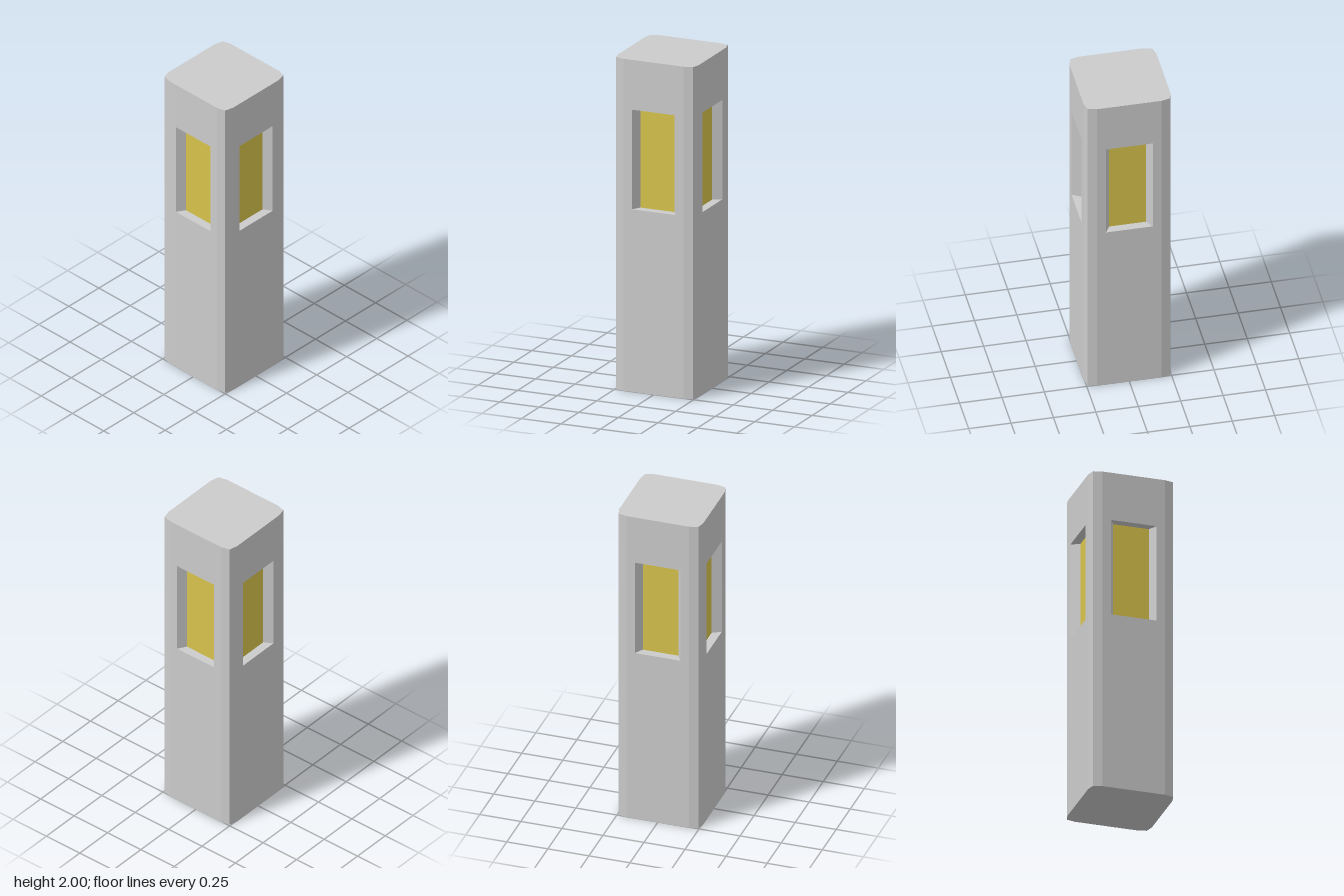
import * as THREE from 'three';

const HALF = 0.256;    // centre to flat face
const FLAT = 0.19;     // half width of the flat face
const CORNER = 0.243;  // corner ridge position
const HEIGHT = 2;
const WIN = { outer: 0.138, inner: 0.108, bottom: 1.1, top: 1.7, depth: 0.052 };

// Flat quads, each given as four corners counter-clockwise from outside
function quads(list) {
  const pos = [];
  for (const [a, b, c, d] of list) pos.push(...a, ...b, ...c, ...a, ...c, ...d);
  const geo = new THREE.BufferGeometry();
  geo.setAttribute('position', new THREE.Float32BufferAttribute(pos, 3));
  geo.computeVertexNormals();
  return geo;
}

function rectPath(path, w, y0, y1) {
  path.moveTo(-w, y0);
  path.lineTo(w, y0);
  path.lineTo(w, y1);
  path.lineTo(-w, y1);
  path.closePath();
  return path;
}

export function createModel() {
  const stone = new THREE.MeshStandardMaterial({ color: 0xcccccc });
  stone.name = 'grey stone';
  const glow = new THREE.MeshStandardMaterial({ color: 0xd8c44c });
  glow.name = 'yellow light';

  const model = new THREE.Group();
  model.name = 'bollardLight';
  const add = (parent, name, geo, mat) => {
    const mesh = new THREE.Mesh(geo, mat);
    mesh.name = name;
    parent.add(mesh);
    return mesh;
  };

  // Flat face with a window opening
  const face = rectPath(new THREE.Shape(), FLAT, 0, HEIGHT);
  face.holes.push(rectPath(new THREE.Path(), WIN.outer, WIN.bottom, WIN.top));
  const faceGeo = new THREE.ShapeGeometry(face).translate(0, 0, HALF);

  // Two narrow facets rounding the corner
  const strip = (x0, z0, x1, z1) => [[x0, 0, z0], [x1, 0, z1], [x1, HEIGHT, z1], [x0, HEIGHT, z0]];
  const cornerGeo = quads([
    strip(FLAT, HALF, CORNER, CORNER),
    strip(CORNER, CORNER, HALF, FLAT),
  ]);

  // Recess: splayed jambs, level sill and lintel, glowing pane behind
  const { outer: o, inner: i, bottom: b, top: t } = WIN;
  const zf = HALF, zb = HALF - WIN.depth;
  const recessGeo = quads([
    [[-o, b, zf], [-i, b, zb], [-i, t, zb], [-o, t, zf]],
    [[i, b, zb], [o, b, zf], [o, t, zf], [i, t, zb]],
    [[-o, b, zf], [o, b, zf], [i, b, zb], [-i, b, zb]],
    [[-i, t, zb], [i, t, zb], [o, t, zf], [-o, t, zf]],
  ]);
  const paneGeo = quads([[[-i, b, zb], [i, b, zb], [i, t, zb], [-i, t, zb]]]);

  // Four identical sides
  for (let k = 0; k < 4; k++) {
    const side = new THREE.Group();
    side.name = 'side' + (k + 1);
    side.rotation.y = k * Math.PI / 2;
    add(side, 'face', faceGeo, stone);
    add(side, 'corner', cornerGeo, stone);
    add(side, 'windowRecess', recessGeo, stone);
    add(side, 'lightPane', paneGeo, glow);
    model.add(side);
  }

  // Top and base caps
  const outline = [];
  for (let k = 0; k < 4; k++) {
    for (const [x, y] of [[HALF, FLAT], [CORNER, CORNER], [FLAT, HALF]]) {
      outline.push(new THREE.Vector2(x, y).rotateAround(new THREE.Vector2(), k * Math.PI / 2));
    }
  }
  const capGeo = new THREE.ShapeGeometry(new THREE.Shape(outline));
  const topCap = add(model, 'topCap', capGeo, stone);
  topCap.rotation.x = -Math.PI / 2;
  topCap.position.y = HEIGHT;
  add(model, 'baseCap', capGeo, stone).rotation.x = Math.PI / 2;

  return model;
}
